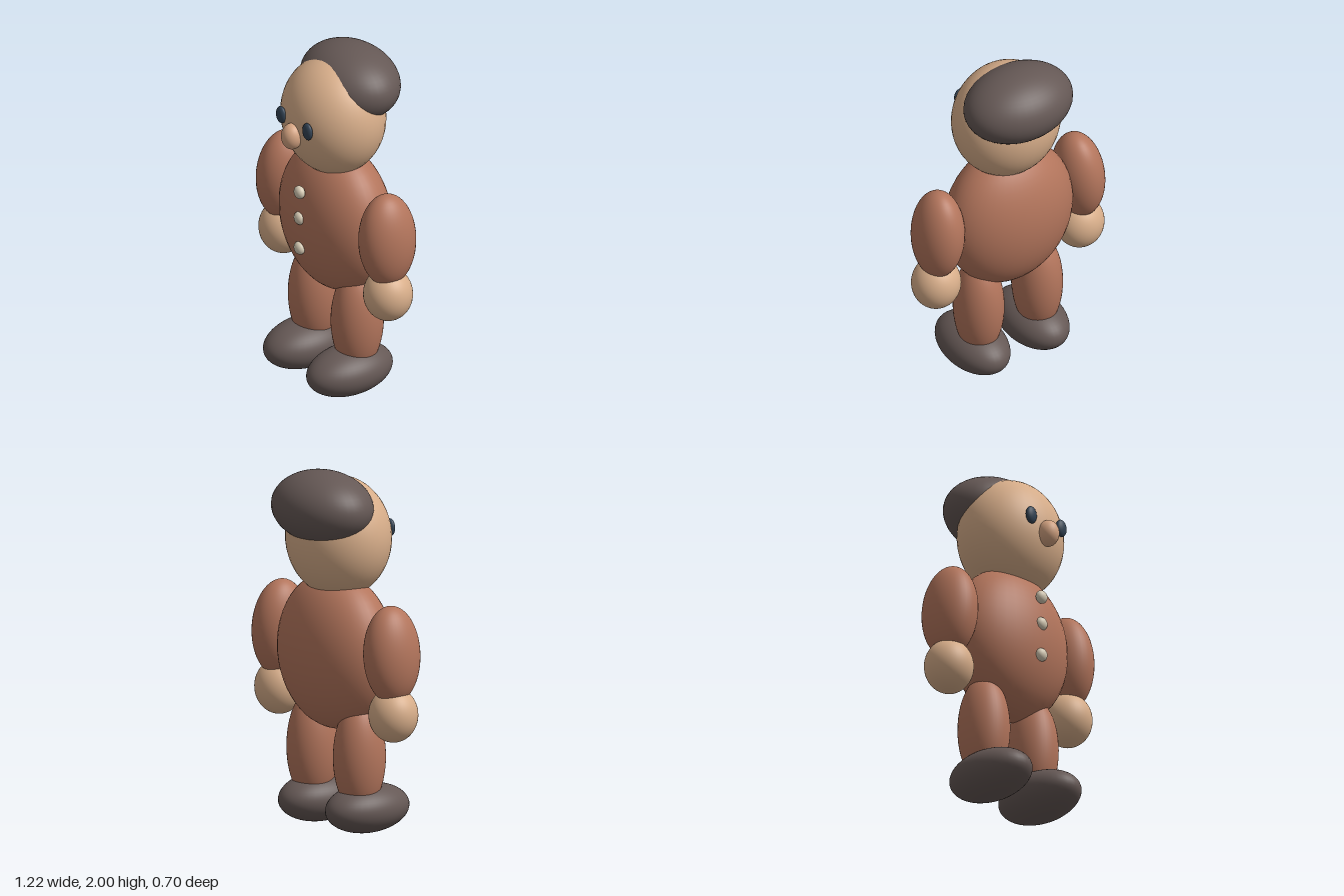
import * as THREE from 'three';

const material = (name, color) => {
  const m = new THREE.MeshStandardMaterial({ color });
  m.name = name;
  return m;
};

export function createModel() {
  const rust = material('rust cloth', 0xb3755c);
  const skin = material('skin', 0xd8ae8a);
  const noseSkin = material('rosy skin', 0xd6a583);
  const dark = material('dark brown', 0x655855);
  const navy = material('navy', 0x334354);
  const cream = material('cream', 0xd6cbb5);

  const model = new THREE.Group();
  model.name = 'stuffedDoll';
  const sphere = new THREE.SphereGeometry(1, 40, 28);

  // Every part is a smooth ellipsoid: centre, radii and sideways tilt
  function blob(name, mat, centre, radii, tilt = 0) {
    const mesh = new THREE.Mesh(sphere, mat);
    mesh.name = name;
    mesh.position.set(...centre);
    mesh.scale.set(...radii);
    mesh.rotation.z = tilt;
    model.add(mesh);
  }

  // A mirrored left and right pair
  function pair(name, mat, [x, y, z], radii, tilt = 0) {
    blob('left' + name, mat, [x, y, z], radii, tilt);
    blob('right' + name, mat, [-x, y, z], radii, -tilt);
  }

  // Body
  blob('torso', rust, [0, 0.993, -0.005], [0.392, 0.434, 0.254]);
  [1.21, 1.05, 0.865].forEach((y, i) =>
    blob('button' + (i + 1), cream, [0, y, 0.243], [0.037, 0.037, 0.027]));

  // Head
  blob('head', skin, [0, 1.62, 0.013], [0.31, 0.335, 0.275]);
  blob('hair', dark, [0, 1.8, -0.102], [0.32, 0.2, 0.245]);
  blob('nose', noseSkin, [0, 1.575, 0.293], [0.06, 0.075, 0.06]);
  pair('Eye', navy, [0.119, 1.65, 0.277], [0.038, 0.05, 0.021]);

  // Limbs
  pair('Arm', rust, [0.463, 1.04, -0.005], [0.136, 0.27, 0.168], 0.06);
  pair('Hand', skin, [0.473, 0.71, -0.003], [0.137, 0.152, 0.135]);
  pair('Leg', rust, [0.193, 0.43, -0.004], [0.137, 0.31, 0.149]);
  pair('Foot', dark, [0.195, 0.14, 0.05], [0.17, 0.135, 0.265]);

  return model;
}
